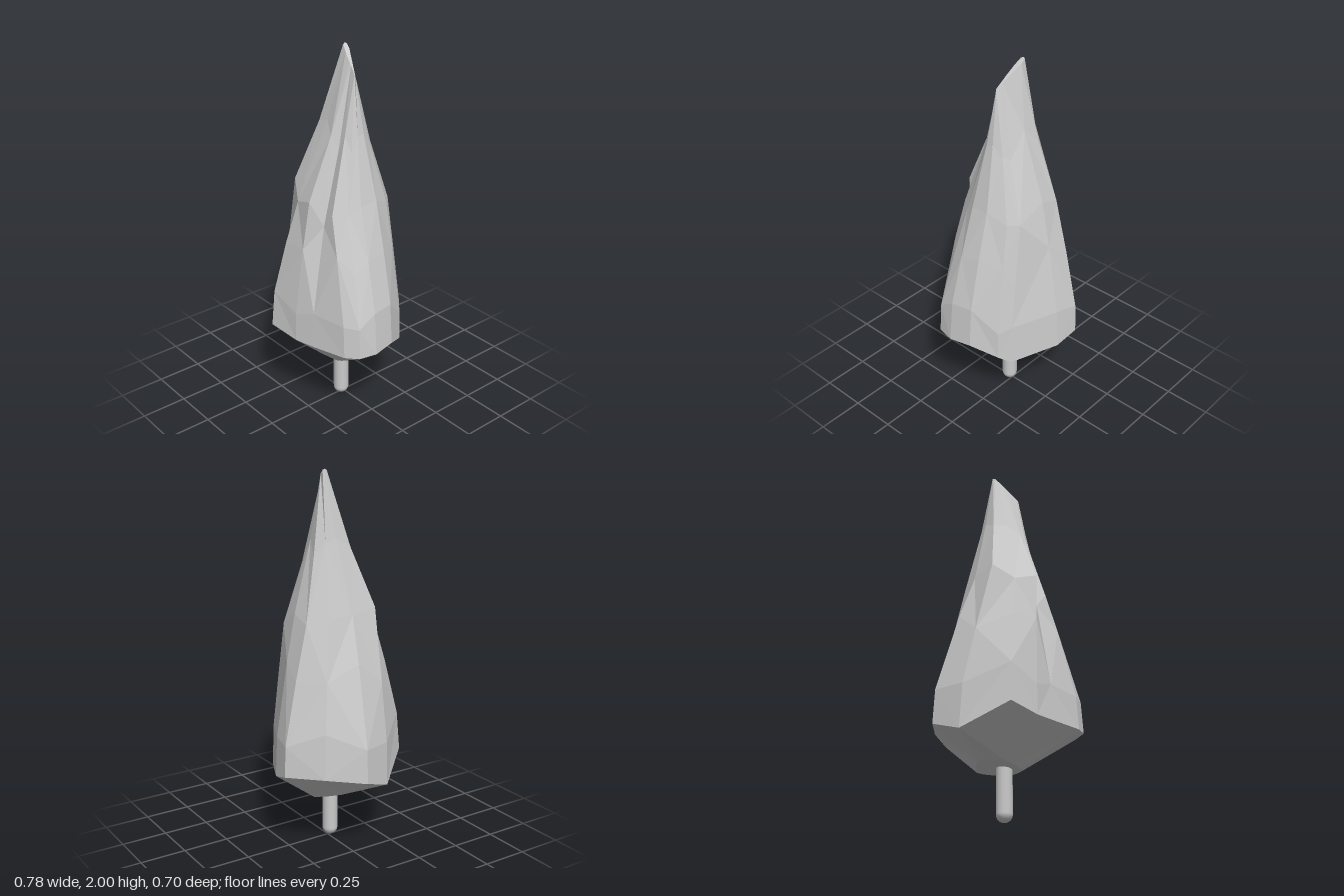
import * as THREE from 'three';

// Corners of the widest ring of the foliage, going round from the left side to the front: x, z, y
const SKIRT = [
  [0.39, 0.1, 0.47], [0.37, 0.195, 0.47], [0.305, 0.245, 0.465], [0.11, 0.298, 0.46],
  [0, 0.325, 0.46], [-0.17, 0.355, 0.49], [-0.335, 0.155, 0.38], [-0.39, -0.01, 0.44],
  [-0.275, -0.195, 0.46], [-0.127, -0.345, 0.46], [0, -0.325, 0.42],
  [0.24, -0.205, 0.385], [0.29, -0.155, 0.42], [0.37, -0.025, 0.48],
];

// The same corners at the shoulder, turned a little and creased beside the front lobe
const SHOULDER = [
  [0.225, 0.07, 1.24], [0.2, 0.13, 1.2], [0.15, 0.195, 1.2], [0.09, 0.2, 1.12],
  [0.05, 0.26, 1.26], [-0.07, 0.24, 1.22], [-0.17, 0.18, 1.3], [-0.185, 0.03, 1.28],
  [-0.17, -0.1, 1.26], [-0.11, -0.2, 1.24], [0, -0.2, 1.28],
  [0.145, -0.18, 1.2], [0.19, -0.13, 1.2], [0.225, -0.03, 1.25],
];

const toPoints = (corners) => corners.map(([x, z, y]) => new THREE.Vector3(x, y, z));

// Ring between two others: rise sets the height, taper the width, wobble staggers the corners
function between(lower, upper, rise, taper, wobble) {
  return lower.map((p, i) => {
    const s = wobble * Math.sin(i * 2.4 + rise * 5);
    const q = p.clone().lerp(upper[i], taper + s);
    q.y = THREE.MathUtils.lerp(p.y, upper[i].y, rise + s);
    return q;
  });
}

function foliageGeometry() {
  const skirt = toPoints(SKIRT);
  const shoulder = toPoints(SHOULDER);
  const n = skirt.length;

  // Small tilted underside
  const bottom = skirt.map(({ x, z }) => {
    const bx = -0.03 + x * 0.28;
    return new THREE.Vector3(bx, 0.268 - bx * 0.13, z * 0.37);
  });
  // Slanted tip: a narrow edge at the top running down to a point on the left
  const tip = shoulder.map(({ x, z }) => {
    const u = (x + 0.185) / 0.41;
    const v = (z + 0.2) / 0.46;
    const tz = THREE.MathUtils.lerp(-0.06 + 0.04 * v, 0.01, u);
    return new THREE.Vector3(-0.035 + 0.14 * u, 2 - 0.13 * u, tz);
  });
  const rings = [
    bottom, skirt,
    between(skirt, shoulder, 0.25, 0.08, 0.05),
    between(skirt, shoulder, 0.65, 0.54, 0.07),
    shoulder,
    between(shoulder, tip, 0.5, 0.57, 0.06),
    tip,
  ];

  const pos = [];
  const tri = (...pts) => pts.forEach((p) => pos.push(p.x, p.y, p.z));
  for (let k = 0; k < rings.length - 1; k++) {
    for (let i = 0; i < n; i++) {
      const j = (i + 1) % n;
      const a = rings[k][i], b = rings[k][j], c = rings[k + 1][j], d = rings[k + 1][i];
      if ((i + k) % 2) { tri(a, d, c); tri(a, c, b); }
      else { tri(a, d, b); tri(b, d, c); }
    }
  }
  // End caps
  for (let i = 1; i < n - 1; i++) {
    tri(bottom[0], bottom[i], bottom[i + 1]);
    tri(tip[0], tip[i + 1], tip[i]);
  }
  const geo = new THREE.BufferGeometry();
  geo.setAttribute('position', new THREE.Float32BufferAttribute(pos, 3));
  geo.computeVertexNormals();
  return geo;
}

export function createModel() {
  const group = new THREE.Group();
  group.name = 'tree';

  const foliage = new THREE.Mesh(
    foliageGeometry(),
    new THREE.MeshStandardMaterial({ color: 0xcccccc, flatShading: true }));
  foliage.name = 'foliage';
  group.add(foliage);

  // Round-ended trunk, its top hidden in the foliage
  const trunk = new THREE.Mesh(
    new THREE.CapsuleGeometry(0.042, 0.28, 6, 16),
    new THREE.MeshStandardMaterial({ color: 0xcccccc }));
  trunk.name = 'trunk';
  trunk.position.set(0.005, 0.182, 0.018);
  group.add(trunk);

  return group;
}
